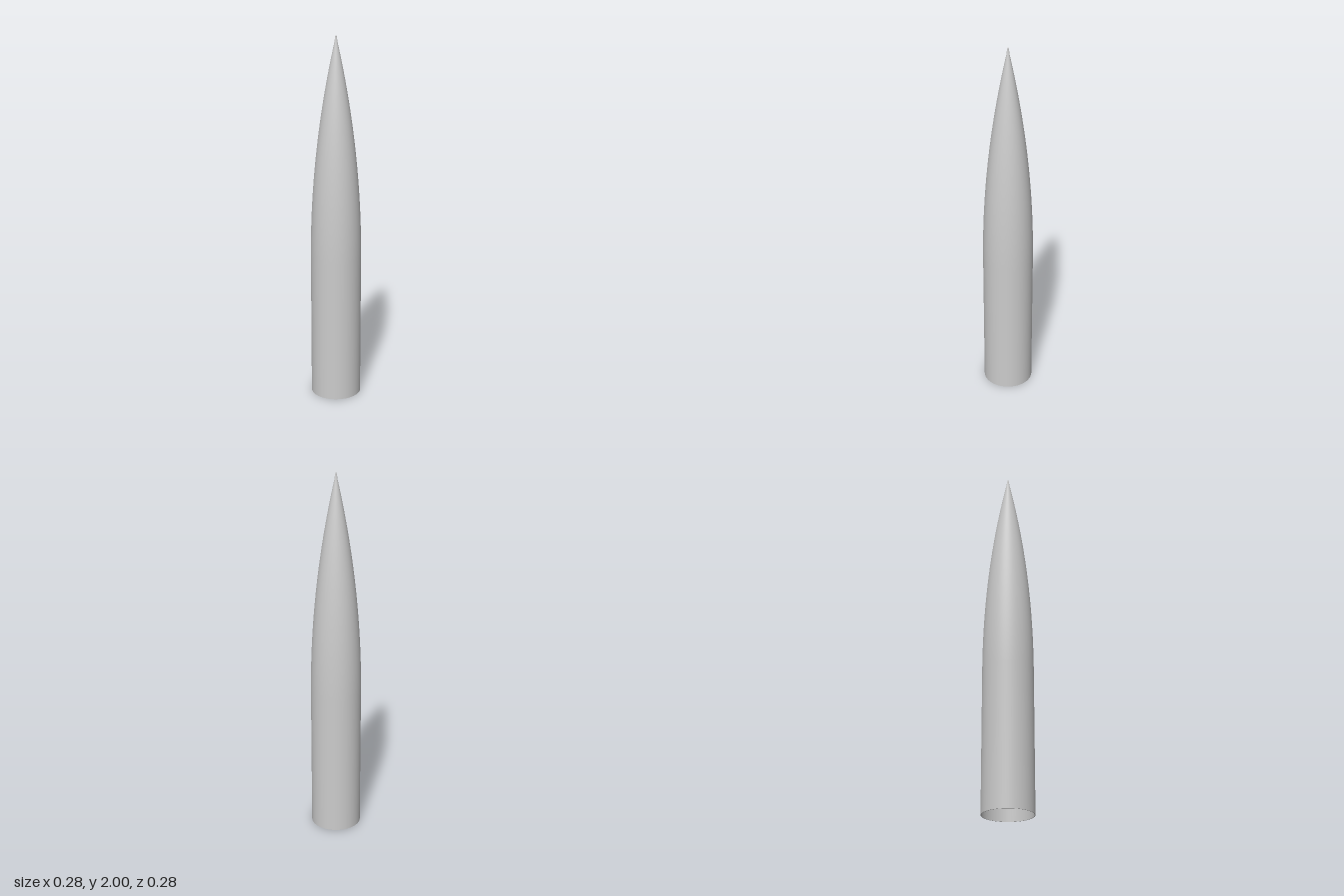
import * as THREE from 'three';

const RADIUS = 0.138, WALL = 0.004, SHOULDER = 0.79, TIP = 2, SEGMENTS = 64;

// Straight tube that runs into a tangent ogive, from the base up to the tip
function ogiveProfile(radius, tip, steps = 32) {
  const length = tip - SHOULDER;
  const rho = (radius * radius + length * length) / (2 * radius);
  const points = [new THREE.Vector2(radius, 0)];
  for (let i = 0; i <= steps; i++) {
    const t = (length * i) / steps;
    const r = Math.sqrt(rho * rho - t * t) + radius - rho;
    points.push(new THREE.Vector2(i === steps ? 0 : r, SHOULDER + t));
  }
  return points;
}

// Slightly blunted point
function blunt(points, r = 0.004) {
  const body = points.slice(0, -1);
  body.push(new THREE.Vector2(r, TIP - 0.008), new THREE.Vector2(r * 0.7, TIP - 0.002), new THREE.Vector2(0, TIP));
  return body;
}

export function createModel() {
  const group = new THREE.Group();
  group.name = 'noseCone';
  const material = new THREE.MeshStandardMaterial({ color: 0xcccccc });
  const add = (name, points) => {
    const mesh = new THREE.Mesh(new THREE.LatheGeometry(points, SEGMENTS), material);
    mesh.name = name;
    group.add(mesh);
  };

  // Thin hollow shell: outer skin, inner skin and the rim joining them at the open base
  add('outerSkin', blunt(ogiveProfile(RADIUS, TIP)));
  add('innerSkin', ogiveProfile(RADIUS - WALL, TIP - 0.03).reverse());
  add('baseRim', [new THREE.Vector2(RADIUS - WALL, 0), new THREE.Vector2(RADIUS, 0)]);
  return group;
}
